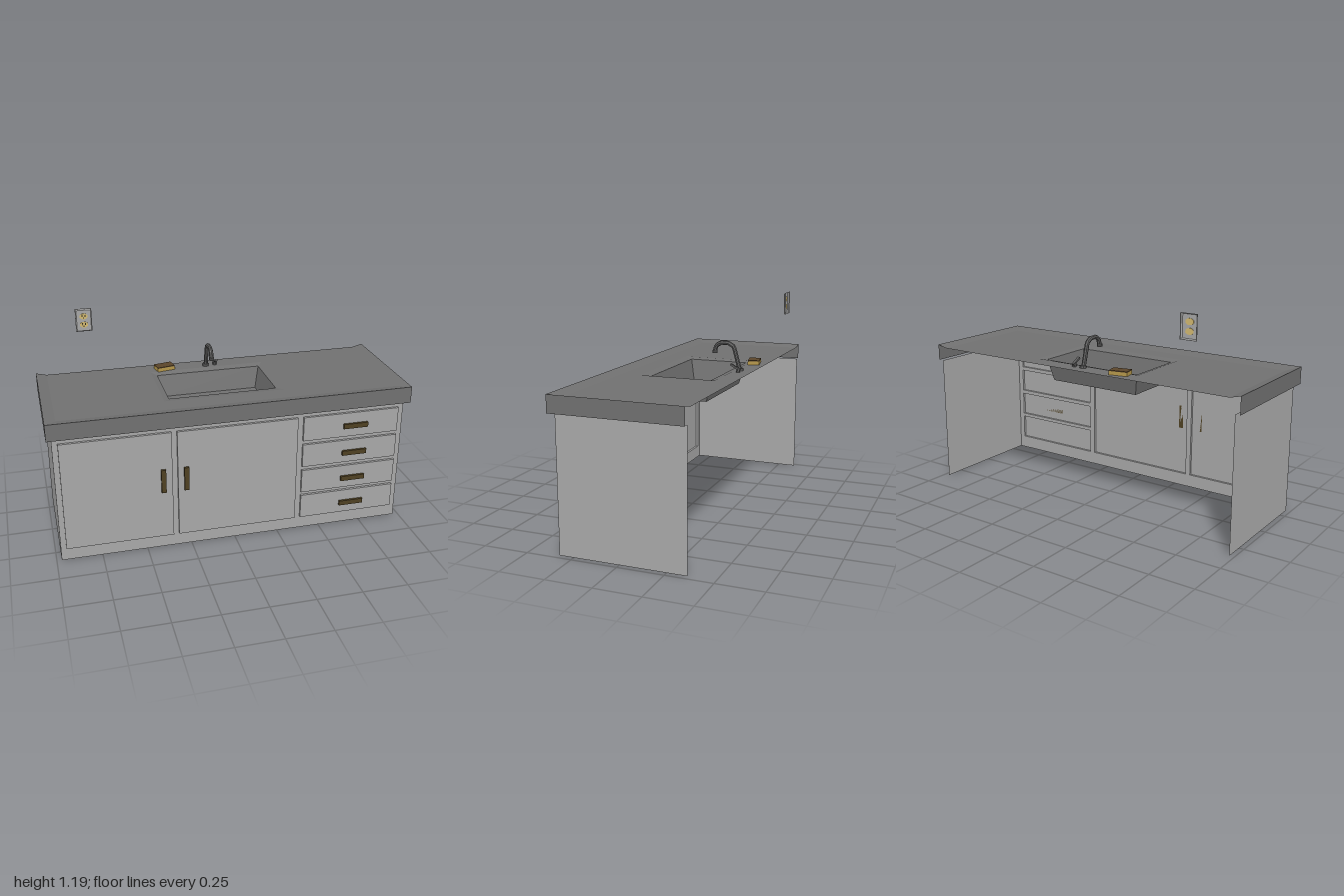
import * as THREE from 'three';

const mat = (name, color) => new THREE.MeshStandardMaterial({ name, color, side: THREE.DoubleSide });

// Joins rectangular rings [x0, x1, z0, z1, y] into flat-faced walls; the first `openBack` bands have no rear wall
function loftRings(rings, openBack = 0, cap = true) {
  const pos = [];
  const corners = ([x0, x1, z0, z1, y]) => [[x0, y, z1], [x1, y, z1], [x1, y, z0], [x0, y, z0]];
  const quad = (a, b, c, d) => pos.push(...a, ...b, ...c, ...a, ...c, ...d);
  for (let r = 0; r < rings.length - 1; r++) {
    const a = corners(rings[r]), b = corners(rings[r + 1]);
    for (let i = 0; i < 4; i++) {
      if (i === 2 && r < openBack) continue;
      const j = (i + 1) % 4;
      quad(a[i], a[j], b[j], b[i]);
    }
  }
  if (cap) quad(...corners(rings[rings.length - 1]));
  const g = new THREE.BufferGeometry();
  g.setAttribute('position', new THREE.Float32BufferAttribute(pos, 3));
  g.computeVertexNormals();
  return g;
}

function flat(geometry) {
  const g = geometry.toNonIndexed();
  g.computeVertexNormals();
  return g;
}

// Rectangle path for cut-outs
function rectPath(Type, x0, x1, y0, y1) {
  const p = new Type();
  p.moveTo(x0, y0); p.lineTo(x1, y0); p.lineTo(x1, y1); p.lineTo(x0, y1); p.closePath();
  return p;
}

export function createModel() {
  const model = new THREE.Group();
  model.name = 'kitchenCounter';
  const cabinetGrey = mat('cabinetGrey', 0xa8a8a8);
  const counterGrey = mat('counterGrey', 0x707070);
  const faucetGrey = mat('faucetGrey', 0x5c5c5c);
  const bronze = mat('bronze', 0x4e4022);
  const plateGrey = mat('plateGrey', 0xa6a6a6);
  const cream = mat('socketYellow', 0xd2b970);
  const dark = mat('slotDark', 0x2a2620);
  const spongeYellow = mat('spongeYellow', 0xb4974a);
  const spongeBrown = mat('spongeBrown', 0x5a452a);

  const add = (name, geometry, material, x = 0, y = 0, z = 0, parent = model) => {
    const m = new THREE.Mesh(geometry, material);
    m.name = name;
    m.position.set(x, y, z);
    parent.add(m);
    return m;
  };
  const box = (name, material, x0, x1, y0, y1, z0, z1, parent) =>
    add(name, new THREE.BoxGeometry(x1 - x0, y1 - y0, z1 - z0), material,
      (x0 + x1) / 2, (y0 + y1) / 2, (z0 + z1) / 2, parent);

  // Cabinet: open at the back, top and bottom
  const L = -0.973, R = 0.97, H = 0.732, F = 0.33, B = -0.357;
  for (const [name, x, turn] of [['rightSidePanel', L, -1], ['leftSidePanel', R, 1]]) {
    add(name, new THREE.PlaneGeometry(F - B, H), cabinetGrey, x, H / 2, (F + B) / 2)
      .rotation.y = turn * Math.PI / 2;
  }

  // Doors and drawers stand proud of the front as hollow panels
  const fronts = [
    ['rightDoor', -0.943, -0.352, 0.075, 0.702],
    ['leftDoor', -0.322, 0.35, 0.075, 0.702],
    ['drawerOne', 0.383, 0.938, 0.56, 0.702],
    ['drawerTwo', 0.383, 0.938, 0.4, 0.537],
    ['drawerThree', 0.383, 0.938, 0.238, 0.377],
    ['drawerFour', 0.383, 0.938, 0.075, 0.217],
  ];
  const frame = rectPath(THREE.Shape, L, R, 0, H);
  for (const [name, x0, x1, y0, y1] of fronts) {
    frame.holes.push(rectPath(THREE.Path, x0, x1, y0, y1));
    const panel = box(name, cabinetGrey, x0, x1, y0, y1, F, F + 0.014);
    panel.geometry.setIndex([...panel.geometry.index.array].slice(0, 30)); // drop rear face
    panel.geometry.clearGroups();
  }
  add('cabinetFront', new THREE.ShapeGeometry(frame), cabinetGrey, 0, 0, F);

  // Pulls
  for (const x of [-0.402, -0.276]) box('doorPull', bronze, x - 0.013, x + 0.013, 0.353, 0.49, F + 0.014, 0.357);
  for (const y of [0.626, 0.461, 0.299, 0.139]) {
    box('drawerPull', bronze, 0.614, 0.756, y - 0.014, y + 0.014, F + 0.014, 0.357);
  }

  // Countertop shell: skirt, raised rim on three sides, dished lip and basin
  add('countertop', loftRings([
    [-1, 1, -0.358, 0.358, 0.732],
    [-1, 1, -0.358, 0.358, 0.826],
    [-0.94, 0.94, -0.358, 0.29, 0.811],
    [-0.355, 0.315, -0.25, 0.18, 0.811],
    [-0.322, 0.284, -0.212, 0.132, 0.802],
    [-0.295, 0.258, -0.182, 0.105, 0.68],
  ], 2), counterGrey);

  // Drain
  add('drain', flat(new THREE.CylinderGeometry(0.019, 0.019, 0.008, 8)), bronze, -0.02, 0.682, -0.038);

  // Faucet
  const faucet = new THREE.Group();
  faucet.name = 'faucet';
  faucet.position.x = -0.02;
  model.add(faucet);
  const path = new THREE.CurvePath();
  const pts = [[0.805, -0.279], [0.943, -0.24], [0.961, -0.21], [0.962, -0.165], [0.945, -0.137], [0.91, -0.127]]
    .map(([y, z]) => new THREE.Vector3(0, y, z));
  for (let i = 0; i < pts.length - 1; i++) path.add(new THREE.LineCurve3(pts[i], pts[i + 1]));
  add('spout', flat(new THREE.TubeGeometry(path, 20, 0.0125, 8)), faucetGrey, 0, 0, 0, faucet);
  add('spoutTip', flat(new THREE.CylinderGeometry(0.015, 0.015, 0.016, 8)), faucetGrey, 0, 0.909, -0.127, faucet);
  add('spoutBase', flat(new THREE.CylinderGeometry(0.017, 0.02, 0.014, 8)), faucetGrey, 0, 0.817, -0.28, faucet);
  add('leverBase', flat(new THREE.CylinderGeometry(0.011, 0.012, 0.02, 8)), faucetGrey, 0.056, 0.82, -0.284, faucet);
  add('lever', new THREE.BoxGeometry(0.016, 0.01, 0.062), faucetGrey, 0.056, 0.838, -0.269, faucet)
    .rotation.x = -0.5;

  // Sponge with a scouring layer
  const sponge = new THREE.Group();
  sponge.name = 'sponge';
  sponge.position.set(-0.266, 0, -0.284);
  sponge.rotation.y = 0.2;
  model.add(sponge);
  box('spongeBody', spongeYellow, -0.052, 0.052, 0.811, 0.831, -0.033, 0.033, sponge);
  box('scouringLayer', spongeBrown, -0.052, 0.052, 0.831, 0.836, -0.033, 0.033, sponge);

  // Wall outlet: hollow bevelled plate, two receptacles showing through, dark slots
  const outlet = new THREE.Group();
  outlet.name = 'wallOutlet';
  outlet.position.set(-0.708, 1.124, -0.358);
  model.add(outlet);
  add('outletPlate', loftRings([
    [-0.046, 0.046, -0.066, 0.066, 0],
    [-0.046, 0.046, -0.066, 0.066, 0.007],
    [-0.04, 0.04, -0.06, 0.06, 0.014],
  ]).rotateX(Math.PI / 2), plateGrey, 0, 0, 0, outlet);
  for (const y of [0.024, -0.024]) {
    const socket = flat(new THREE.CylinderGeometry(0.022, 0.022, 0.005, 8)
      .rotateY(Math.PI / 8).rotateX(Math.PI / 2).scale(1.1, 0.8, 1));
    add('receptacle', socket, cream, 0, y, 0.0135, outlet);
    for (const x of [-0.008, 0.008]) {
      box('slot', dark, x - 0.0025, x + 0.0025, y - 0.003, y + 0.009, 0.0155, 0.0165, outlet);
    }
    box('groundSlot', dark, -0.003, 0.003, y - 0.012, y - 0.006, 0.0155, 0.0165, outlet);
  }

  return model;
}
